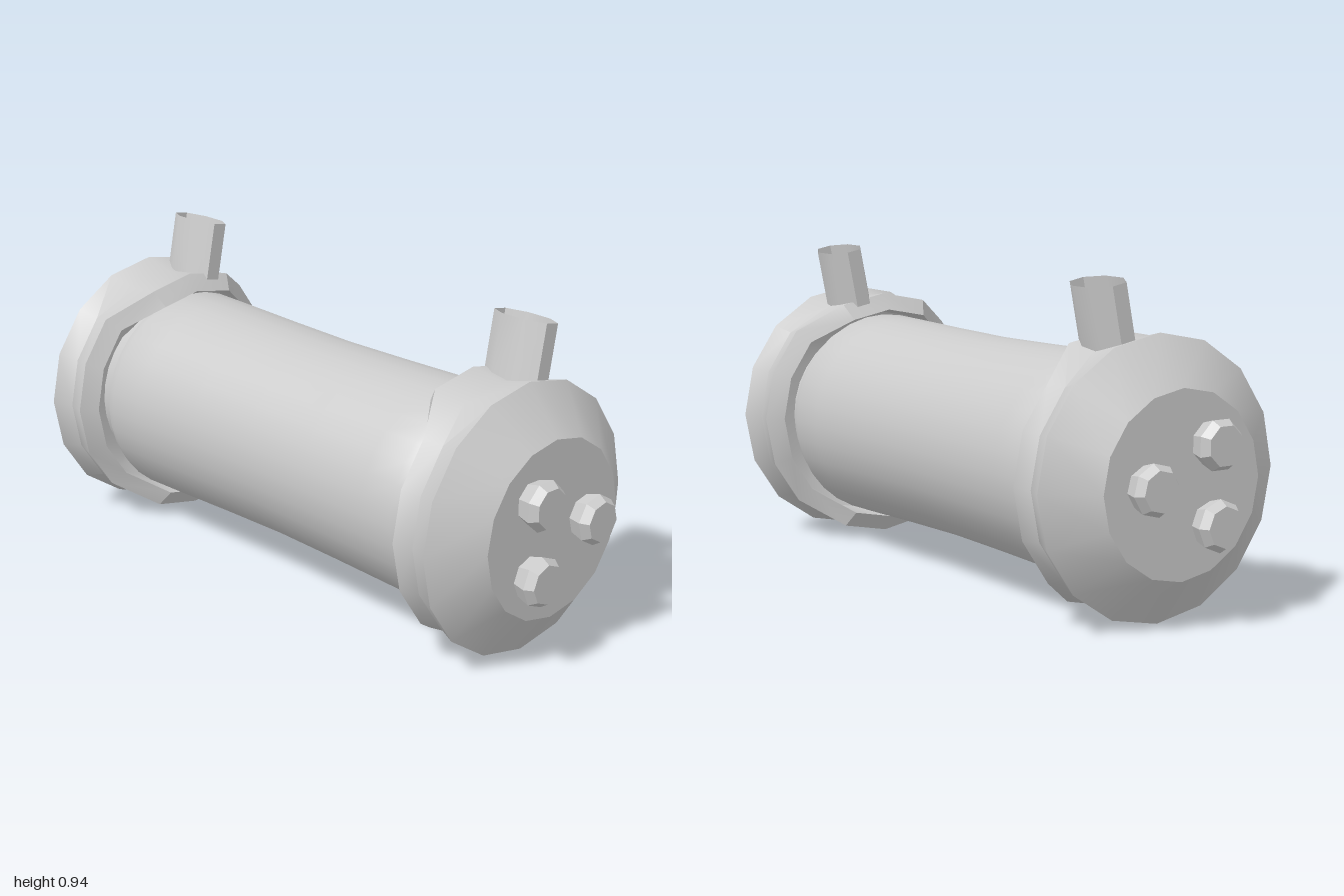
import * as THREE from 'three';
import { toCreasedNormals } from 'three/addons/utils/BufferGeometryUtils.js';

const CENTRE_Y = 0.4;
const SIDES = 16;
const grey = new THREE.MeshStandardMaterial({ color: 0xcccccc });
const greyDouble = new THREE.MeshStandardMaterial({ color: 0xcccccc, side: THREE.DoubleSide });

// Rings of [radius, z at the sides, z at the top and bottom tabs], from outside face to inner wall
const capRings = [
  [0, 0.93, 0.93],
  [0.263, 0.93, 0.93],
  [0.4, 0.825, 0.825],
  [0.375, 0.76, 0.72],
  [0.39, 0.7, 0.615],
  [0.34, 0.668, 0.58],
  [0.33, 0.72, 0.68],
  [0.25, 0.73, 0.73],
];

function capGeometry() {
  const pos = [], index = [];
  for (const [r, zSide, zTab] of capRings) {
    for (let i = 0; i < SIDES; i++) {
      const a = (i / SIDES) * Math.PI * 2;
      const tab = Math.abs(Math.sin(a)) > 0.9;
      pos.push(r * Math.cos(a), r * Math.sin(a), tab ? zTab : zSide);
    }
  }
  for (let j = 0; j < capRings.length - 1; j++) {
    for (let i = 0; i < SIDES; i++) {
      const n = (i + 1) % SIDES;
      const a = j * SIDES + i, b = j * SIDES + n, c = a + SIDES, d = b + SIDES;
      if (j > 0) index.push(a, d, b);
      index.push(a, c, d);
    }
  }
  const g = new THREE.BufferGeometry();
  g.setAttribute('position', new THREE.Float32BufferAttribute(pos, 3));
  g.setIndex(index);
  return g;
}

// Open oval pipe leaning out along the radius between two cap corners
function pipeGeometry() {
  const g = new THREE.CylinderGeometry(1, 1, 0.185, 8, 1, true, Math.PI / 8);
  g.scale(0.061, 1, 0.105);
  g.translate(0.01, 0.4525, 0);
  g.rotateZ(-Math.PI / 16);
  g.translate(0, 0, 0.7);
  return g;
}

// Octagonal bolt head, flared and then chamfered
function boltGeometry(x, y, turn) {
  const profile = [[0.06, 0.925], [0.074, 0.975], [0.058, 1], [0, 1]];
  const g = new THREE.LatheGeometry(profile.map(([r, z]) => new THREE.Vector2(r, z)), 8);
  g.rotateX(Math.PI / 2);
  g.rotateZ(turn);
  g.translate(x, y - CENTRE_Y, 0);
  return g;
}

// Mirror to the back end by flipping z and the corner order
function mirrorZ(source) {
  const g = source.clone().scale(1, 1, -1);
  const ix = g.index.array;
  for (let i = 0; i < ix.length; i += 3) [ix[i], ix[i + 1]] = [ix[i + 1], ix[i]];
  return g;
}

function addPart(parent, name, geometry, crease, material = grey) {
  const mesh = new THREE.Mesh(toCreasedNormals(geometry, crease), material);
  mesh.name = name;
  parent.add(mesh);
}

export function createModel() {
  const model = new THREE.Group();
  model.name = 'canister';
  const assembly = new THREE.Group();
  assembly.name = 'canisterAssembly';
  assembly.position.y = CENTRE_Y;
  model.add(assembly);

  // Slightly waisted tank with rounded ends
  const half = [[0.27, 0.75], [0.28, 0.67], [0.308, 0.655], [0.321, 0.62], [0.319, 0.5], [0.313, 0.25]];
  const profile = [
    ...half.map(([r, z]) => new THREE.Vector2(r, -z)),
    new THREE.Vector2(0.309, 0),
    ...half.slice().reverse().map(([r, z]) => new THREE.Vector2(r, z)),
  ];
  const tank = new THREE.LatheGeometry(profile, 32);
  tank.rotateX(Math.PI / 2);
  addPart(assembly, 'tank', tank, 0.7);

  // Both ends: cap, pipe and three bolts
  const bolts = [[-0.09, 0.508, Math.PI / 8], [0.125, 0.407, -0.14], [-0.094, 0.287, 0]];
  for (const end of ['front', 'back']) {
    const place = (g) => (end === 'back' ? mirrorZ(g) : g);
    const group = new THREE.Group();
    group.name = end + 'End';
    assembly.add(group);
    addPart(group, end + 'Cap', place(capGeometry()), 0.6);
    addPart(group, end + 'Pipe', place(pipeGeometry()), 0.9, greyDouble);
    bolts.forEach(([x, y, turn], i) => {
      addPart(group, end + 'Bolt' + (i + 1), place(boltGeometry(x, y, turn)), 0.5);
    });
  }
  return model;
}
